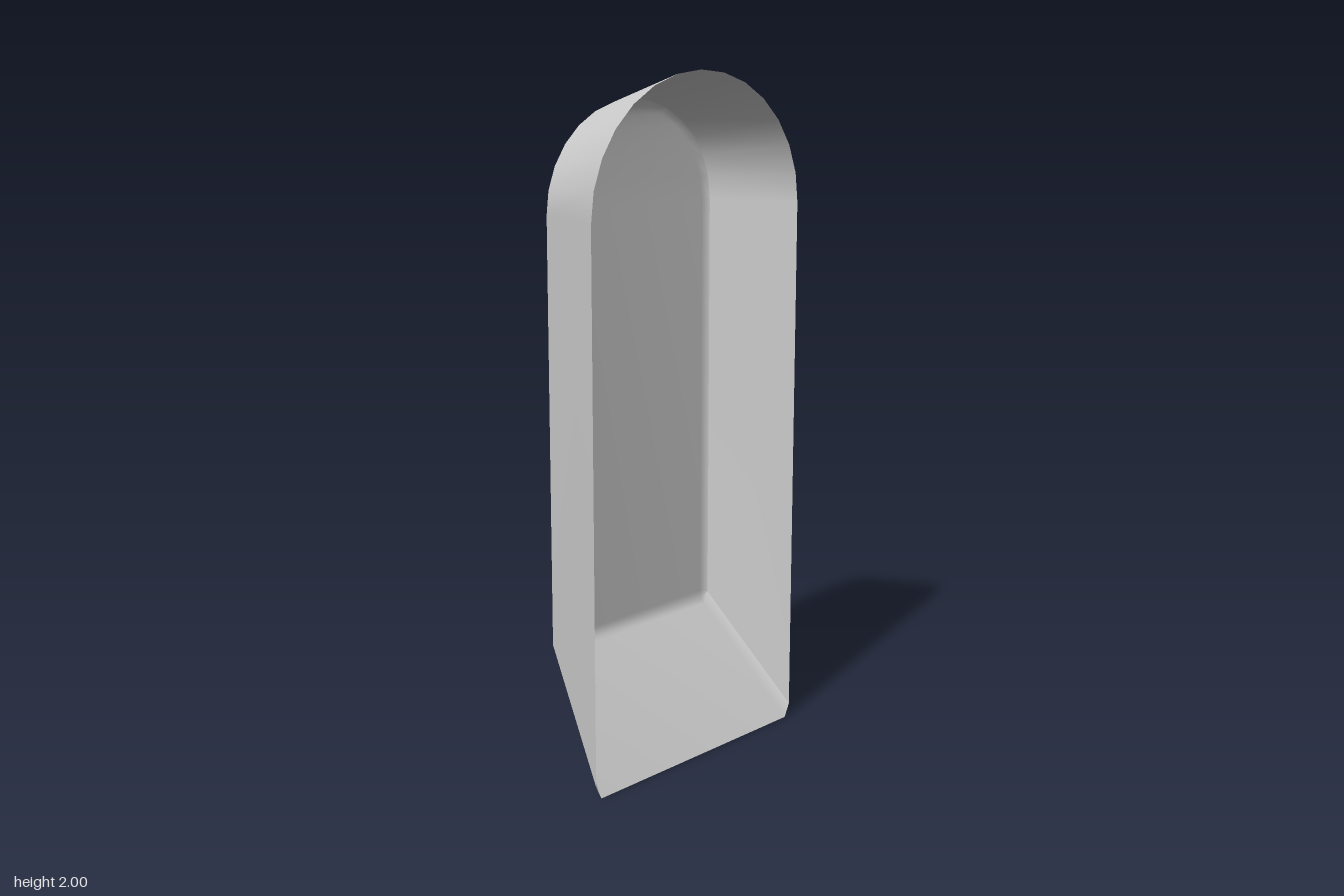
import * as THREE from 'three';

const ARC = 7;          // steps in each quarter of the arch
const SPRING = 1.61;    // height where the arch begins

// Half of an arched outline at depth x: lower points, spring point, then up to the crown
function halfOutline(lower, x, halfWidth, top) {
  const points = lower.map(p => new THREE.Vector3(...p));
  for (let i = 0; i <= ARC; i++) {
    const a = (i / ARC) * Math.PI / 2;
    points.push(new THREE.Vector3(x, SPRING + (top - SPRING) * Math.sin(a), halfWidth * Math.cos(a)));
  }
  return points;
}

const mirror = points => points.map(p => new THREE.Vector3(p.x, p.y, -p.z));

// Full outline from one foot over the crown to the other foot
const fullOutline = half => [...half, ...mirror(half).reverse().slice(1)];

// Smooth surface spanning rows that have equal point counts
function sheet(name, rows) {
  const n = rows[0].length;
  const points = rows.flat();
  const index = [];
  const tri = (a, b, c) => {
    const area = new THREE.Triangle(points[a], points[b], points[c]).getArea();
    if (area > 1e-9) index.push(a, b, c);
  };
  for (let r = 0; r < rows.length - 1; r++) {
    for (let j = 0; j < n - 1; j++) {
      const a = r * n + j, b = a + n;
      tri(a, a + 1, b);
      tri(a + 1, b + 1, b);
    }
  }
  const geometry = new THREE.BufferGeometry().setFromPoints(points);
  geometry.setIndex(index);
  geometry.computeVertexNormals();
  const material = new THREE.MeshStandardMaterial({ color: 0xcccccc, side: THREE.DoubleSide });
  const mesh = new THREE.Mesh(geometry, material);
  mesh.name = name;
  return mesh;
}

export function createModel() {
  const group = new THREE.Group();
  group.name = 'archedShell';

  // Flared side wall from the open rim to the bevel
  const rim = halfOutline([[0.14, 0.04, 0.425]], 0.14, 0.425, 2);
  const inner = halfOutline([[-0.125, 0.37, 0.335]], -0.125, 0.335, 1.915);
  group.add(sheet('archedWall', [fullOutline(rim), fullOutline(inner)]));

  // Bevel, flat back panel and sloping sill, with a softly rounded fold
  const fold = [-0.125, 0.37, 0.335];
  const bevel = halfOutline([[0.14, 0.04, 0.425], fold, fold, fold], -0.125, 0.335, 1.915);
  const panel = halfOutline([
    [0.14, 0, 0.405], [-0.125, 0.335, 0.318], [-0.135, 0.352, 0.315], [-0.14, 0.375, 0.315],
  ], -0.14, 0.315, 1.895);
  group.add(sheet('backPanelAndSill', [bevel, panel, mirror(panel), mirror(bevel)]));

  return group;
}
